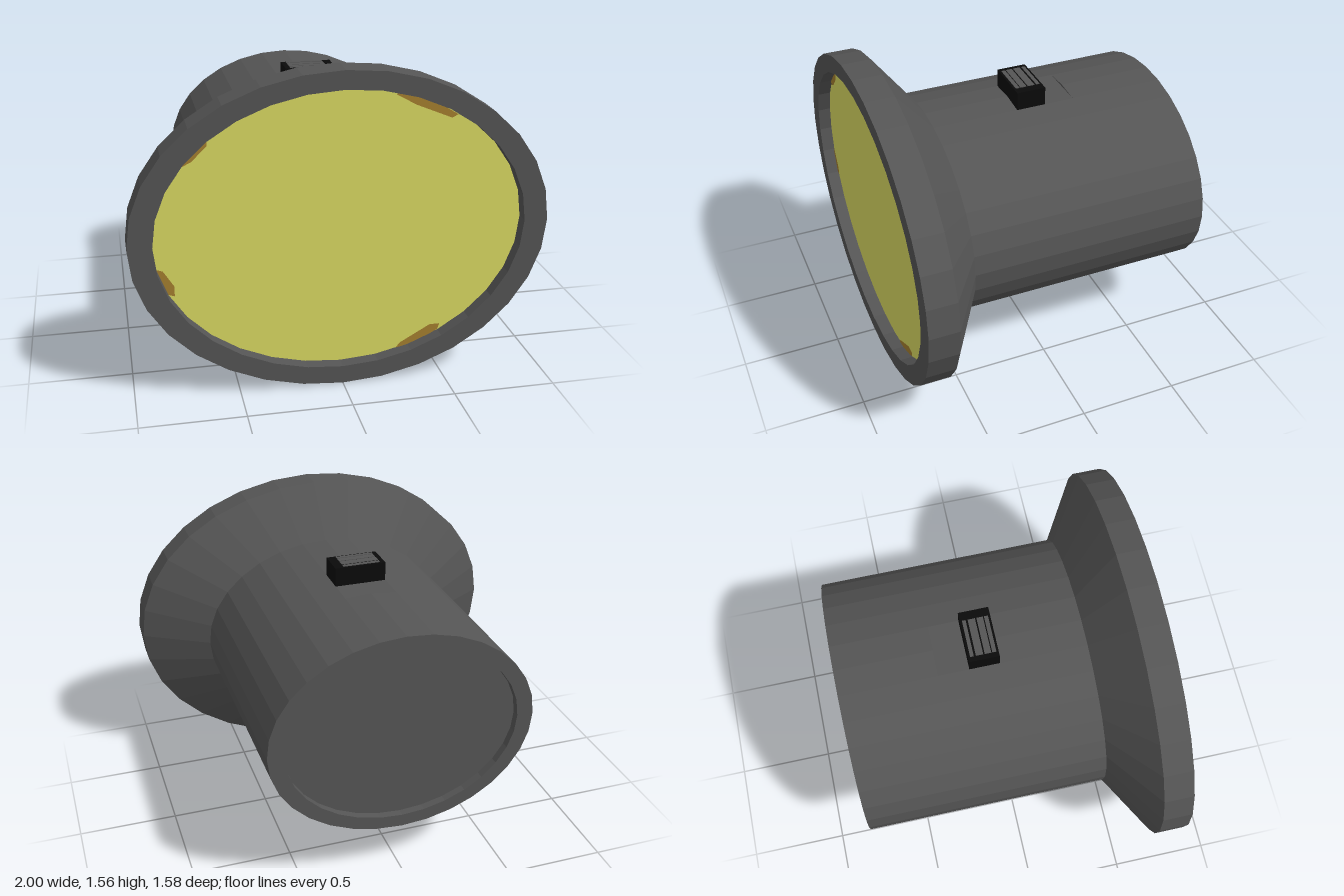
import * as THREE from 'three';

const SIDES = 32, STEP = Math.PI * 2 / SIDES;
const SQUASH = 0.78, CY = 0.78;      // height ratio of the oval, and its axis height
const LENS_Z = 0.725;

export function createModel() {
  const group = new THREE.Group();
  const mat = (name, color) => {
    const m = new THREE.MeshStandardMaterial({ color });
    m.name = name;
    return m;
  };
  const grey = mat('casing grey', 0x555555);
  const yellow = mat('lens yellow', 0xdada62);
  const brown = mat('lens stain brown', 0xa5802f);
  const black = mat('switch black', 0x0a0a0a);

  const add = (name, geometry, material, x = 0, y = 0, z = 0) => {
    const mesh = new THREE.Mesh(geometry, material);
    mesh.name = name;
    mesh.position.set(x, y, z);
    group.add(mesh);
    return mesh;
  };

  // Faceted oval shell along z from [radius, z] pairs; skip leaves out facets at the top
  const shell = (name, profile, skip = 0) => {
    let g = new THREE.LatheGeometry(profile.map(([r, z]) => new THREE.Vector2(r, z)),
      SIDES - skip, Math.PI + skip / 2 * STEP, (SIDES - skip) * STEP);
    g.rotateX(Math.PI / 2);
    g.scale(1, SQUASH, 1);
    g = g.toNonIndexed();
    g.computeVertexNormals();
    return add(name, g, grey, 0, CY, 0);
  };

  // Casing: rear with recessed cap, slotted middle, front barrel, flared head and rim
  const R = 0.667, slotBack = -0.3, slotFront = 0;
  shell('rearBarrel', [[0, -0.75], [0.585, -0.75], [0.585, -0.79], [R, -0.79], [R, slotBack]]);
  shell('slottedBarrel', [[R, slotBack], [R, slotFront]], 2);
  shell('frontBarrel', [[R, slotFront], [R, 0.44]]);
  shell('flaredHead', [[R, 0.44], [1, 0.64]]);
  shell('rim', [[1, 0.64], [1, 0.79], [0.885, 0.79], [0.885, LENS_Z - 0.01]]);

  // Switch slot: flat floor and two small end walls
  const half = R * Math.sin(STEP);
  const floorY = CY + R * SQUASH * Math.cos(STEP), topY = CY + R * SQUASH;
  const floor = new THREE.PlaneGeometry(half * 2, slotFront - slotBack).rotateX(-Math.PI / 2);
  add('slotFloor', floor, grey, 0, floorY, (slotFront + slotBack) / 2);
  const end = new THREE.ShapeGeometry(new THREE.Shape([
    new THREE.Vector2(-half, floorY), new THREE.Vector2(half, floorY), new THREE.Vector2(0, topY)]));
  add('slotEndBack', end, grey, 0, 0, slotBack);
  add('slotEndFront', end.clone().rotateY(Math.PI), grey, 0, 0, slotFront);

  // Sliding switch with thin grip bars
  add('switch', new THREE.BoxGeometry(half * 2, 0.1, 0.15), black, 0, floorY + 0.045, -0.072);
  [[-0.127, 0.018], [-0.09, 0.036], [-0.049, 0.032], [-0.018, 0.02]].forEach(([z, depth], i) =>
    add('gripBar' + (i + 1), new THREE.BoxGeometry(0.19, 0.004, depth), grey, -0.01, floorY + 0.096, z));

  // Lens
  const lens = new THREE.CircleGeometry(0.885, SIDES);
  lens.scale(1, SQUASH, 1);
  add('lens', lens, yellow, 0, CY, LENS_Z);

  // Stains along the lens edge
  const stains = [
    [[0.25, 1.42], [0.28, 1.44], [0.4, 1.4], [0.55, 1.31], [0.52, 1.295], [0.35, 1.365]],
    [[-0.76, 1.15], [-0.73, 1.14], [-0.69, 1.16], [-0.62, 1.23], [-0.62, 1.27], [-0.7, 1.21]],
    [[-0.87, 0.65], [-0.84, 0.64], [-0.79, 0.56], [-0.79, 0.51], [-0.82, 0.52]],
    [[0.28, 0.13], [0.3, 0.155], [0.45, 0.24], [0.5, 0.24], [0.49, 0.21], [0.36, 0.14]],
  ];
  stains.forEach((pts, i) => add('lensStain' + (i + 1),
    new THREE.ShapeGeometry(new THREE.Shape(pts.map(p => new THREE.Vector2(...p)))),
    brown, 0, 0, LENS_Z + 0.004));

  return group;
}
